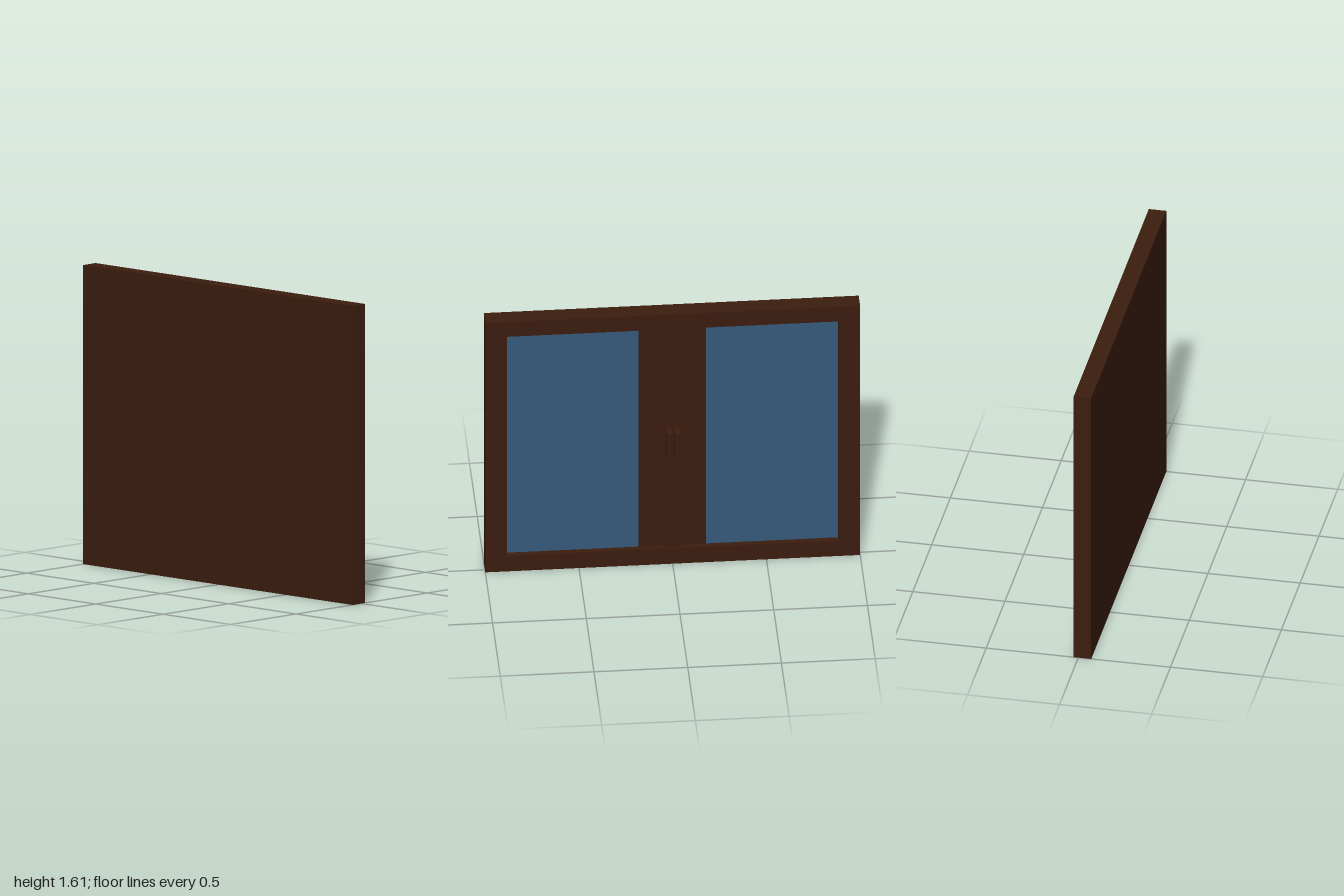
import * as THREE from 'three';

const wood = new THREE.MeshStandardMaterial({ color: 0x3b1d0e });
const glass = new THREE.MeshStandardMaterial({ color: 0x35587a });

// Box given by its limits on each axis
function slab(name, [x0, x1], [y0, y1], [z0, z1], material = wood) {
  const mesh = new THREE.Mesh(new THREE.BoxGeometry(x1 - x0, y1 - y0, z1 - z0), material);
  mesh.position.set((x0 + x1) / 2, (y0 + y1) / 2, (z0 + z1) / 2);
  mesh.name = name;
  return mesh;
}

// Limits mirrored to the given side of z = 0
const mirrored = (side, a, b) => (side > 0 ? [a, b] : [-b, -a]);

export function createModel() {
  const group = new THREE.Group();
  group.name = 'window';
  const back = -0.07, face = 0.025, pane = -0.005;
  const bottom = 0.1, top = 1.515, height = 1.61, half = 0.885;

  // Outer frame with one rectangular opening, extruded along x
  const outline = new THREE.Shape([[-1, 0], [1, 0], [1, height], [-1, height]].map(p => new THREE.Vector2(...p)));
  outline.holes.push(new THREE.Path(
    [[-half, bottom], [-half, top], [half, top], [half, bottom]].map(p => new THREE.Vector2(...p))));
  const frameGeometry = new THREE.ExtrudeGeometry(outline, { depth: face - back, bevelEnabled: false });
  frameGeometry.rotateY(Math.PI / 2).translate(back, 0, 0);
  const frame = new THREE.Mesh(frameGeometry, wood);
  frame.name = 'outerFrame';
  group.add(frame);

  // Closed back and raised centre post
  group.add(slab('backPanel', [back, -0.03], [bottom, top], [-half, half]));
  group.add(slab('centrePost', [-0.03, 0.016], [bottom, top], [-0.045, 0.045]));

  for (const side of [1, -1]) {
    // Pane and inner stile of each sash
    group.add(slab('glassPane', [-0.03, pane], [bottom, top], mirrored(side, 0.18, half), glass));
    group.add(slab('sashStile', [-0.03, pane + 0.002], [bottom, top], mirrored(side, 0.045, 0.18)));

    // Handle: short mount and hanging lever
    const handle = new THREE.Group();
    handle.name = 'handle';
    const width = mirrored(side, 0.006, 0.037);
    handle.add(slab('handleMount', [0.016, 0.045], [0.815, 0.865], width));
    handle.add(slab('handleLever', [0.045, 0.065], [0.68, 0.865], width));
    group.add(handle);
  }
  return group;
}
